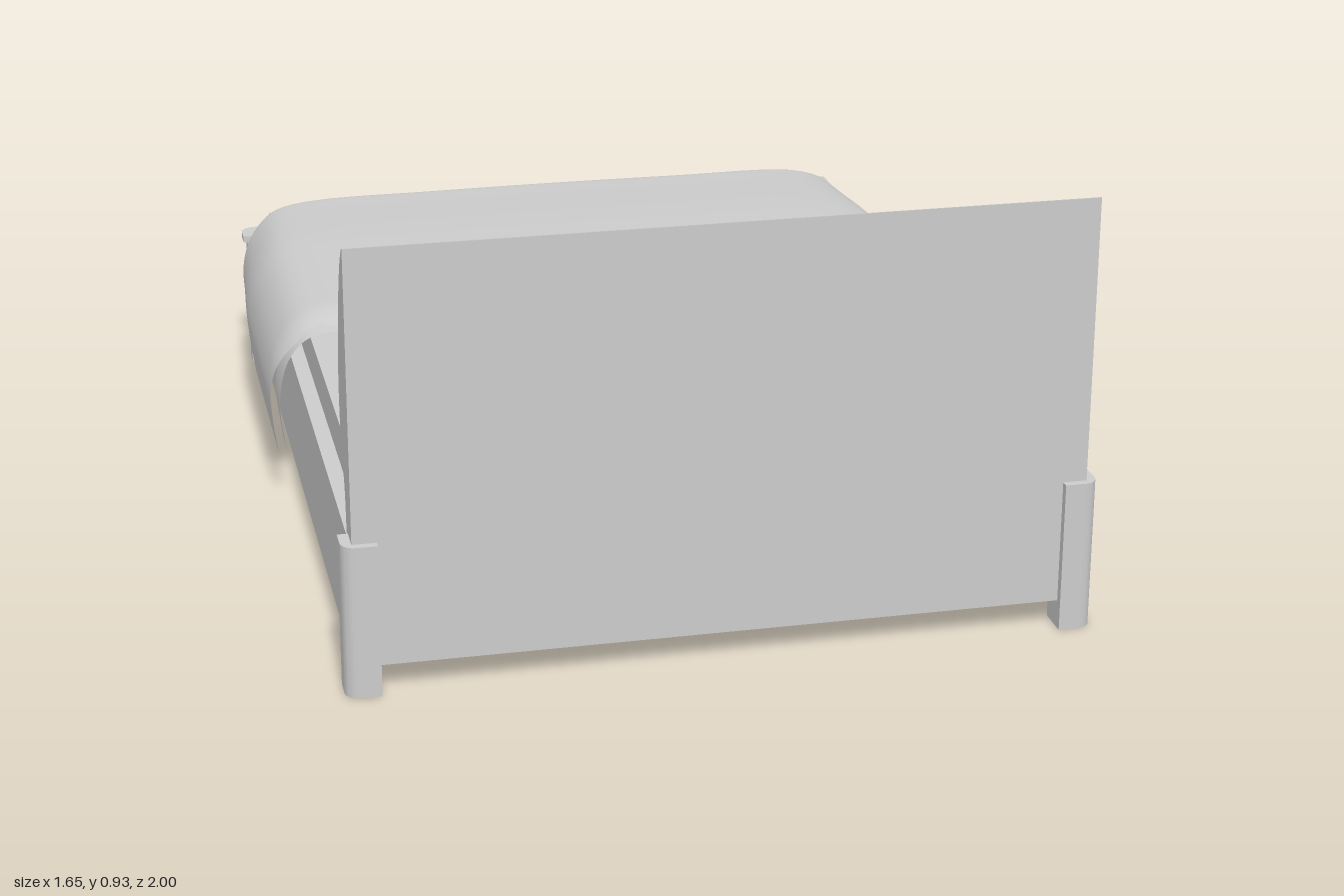
import * as THREE from 'three';
import { mergeVertices, toCreasedNormals } from 'three/addons/utils/BufferGeometryUtils.js';

const grey = new THREE.MeshStandardMaterial({ color: 0xcccccc });
const cloth = new THREE.MeshStandardMaterial({ color: 0xcccccc, side: THREE.DoubleSide });
const CX = -0.013; // middle of the frame

function add(parent, name, geo, mat = grey) {
  const mesh = new THREE.Mesh(geo, mat);
  mesh.name = name;
  parent.add(mesh);
  return mesh;
}

// Box given by its min and max on each axis
function box(x0, x1, y0, y1, z0, z1) {
  return new THREE.BoxGeometry(x1 - x0, y1 - y0, z1 - z0)
    .translate((x0 + x1) / 2, (y0 + y1) / 2, (z0 + z1) / 2);
}

// Grid surface from a function of s (left to right) and t (front to back)
function loft(nS, nT, fn) {
  const pos = [], idx = [];
  for (let j = 0; j <= nT; j++)
    for (let i = 0; i <= nS; i++) pos.push(...fn(i / nS, j / nT));
  for (let j = 0; j < nT; j++)
    for (let i = 0; i < nS; i++) {
      const a = j * (nS + 1) + i, b = a + 1, c = a + nS + 1, d = c + 1;
      idx.push(a, b, c, b, d, c);
    }
  const g = new THREE.BufferGeometry();
  g.setAttribute('position', new THREE.Float32BufferAttribute(pos, 3));
  g.setIndex(idx);
  g.computeVertexNormals();
  return g;
}

// Square post with one rounded outer corner
function legGeometry() {
  const h = 0.036, r = 0.03;
  const s = new THREE.Shape();
  s.moveTo(-h, -h);
  s.lineTo(h, -h);
  s.lineTo(h, h - r);
  s.absarc(h - r, h - r, r, 0, Math.PI / 2);
  s.lineTo(-h, h);
  const g = new THREE.ExtrudeGeometry(s, { depth: 0.325, bevelEnabled: false, curveSegments: 8 });
  return toCreasedNormals(g.rotateX(-Math.PI / 2), 0.6);
}

// Curved headboard profile, swept across the width
function headboardGeometry() {
  const s = new THREE.Shape();
  s.moveTo(0.98, 0.32);
  s.lineTo(0.98, 0.932);
  s.splineThru([[0.965, 0.925], [0.93, 0.88], [0.89, 0.79], [0.86, 0.68], [0.85, 0.59],
    [0.86, 0.5], [0.895, 0.41], [0.905, 0.32]].map(p => new THREE.Vector2(...p)));
  const g = new THREE.ExtrudeGeometry(s, { depth: 1.51, bevelEnabled: false, curveSegments: 28 });
  return toCreasedNormals(g.rotateY(-Math.PI / 2).translate(0.742, 0, 0), 0.5);
}

// Drawer front with a finger notch in its top edge
function drawerGeometry(x0, x1) {
  const m = (x0 + x1) / 2, top = 0.255;
  const s = new THREE.Shape();
  s.moveTo(x0, 0.06);
  s.lineTo(x1, 0.06);
  s.lineTo(x1, top);
  s.lineTo(m + 0.085, top);
  s.quadraticCurveTo(m + 0.07, top - 0.025, m + 0.05, top - 0.025);
  s.lineTo(m - 0.05, top - 0.025);
  s.quadraticCurveTo(m - 0.07, top - 0.025, m - 0.085, top);
  s.lineTo(x0, top);
  return new THREE.ExtrudeGeometry(s, { depth: 0.022, bevelEnabled: false }).translate(0, 0, -0.972);
}

// Footboard cap with rounded outer corners
function capGeometry() {
  const x0 = -0.8, x1 = 0.774, r = 0.035;
  const s = new THREE.Shape();
  s.moveTo(x0, 0.925);
  s.lineTo(x1, 0.925);
  s.lineTo(x1, 1 - r);
  s.absarc(x1 - r, 1 - r, r, 0, Math.PI / 2);
  s.absarc(x0 + r, 1 - r, r, Math.PI / 2, Math.PI);
  const g = new THREE.ExtrudeGeometry(s, { depth: 0.015, bevelEnabled: false, curveSegments: 8 });
  return toCreasedNormals(g.rotateX(-Math.PI / 2).translate(0, 0.321, 0), 0.6);
}

// Puffed cushion with pinched sides and pointed corners
function pillowGeometry() {
  const n = 24;
  const half = sign => (s, t) => {
    const u = Math.sin((s - 0.5) * Math.PI) * sign, v = Math.sin((t - 0.5) * Math.PI);
    const puff = Math.pow(Math.max(0, (1 - u * u) * (1 - v * v)), 0.6);
    return [
      u * (0.335 + 0.012 * v) * (1 - 0.13 * (1 - v * v)),
      v * 0.235 * (1 - 0.05 * (1 - u * u)),
      sign * 0.145 * puff,
    ];
  };
  const a = loft(n, n, half(1)), b = loft(n, n, half(-1));
  const g = new THREE.BufferGeometry();
  const pos = [...a.attributes.position.array, ...b.attributes.position.array];
  const off = a.attributes.position.count;
  g.setAttribute('position', new THREE.Float32BufferAttribute(pos, 3));
  g.setIndex([...a.index.array, ...Array.from(b.index.array, i => i + off)]);
  const welded = mergeVertices(g, 1e-5);
  welded.computeVertexNormals();
  return welded;
}

const section = pts => new THREE.CatmullRomCurve3(
  pts.map(([x, y]) => new THREE.Vector3(x, y, 0)), false, 'centripetal');

// Cover draped over the sides, rolled down at the foot
function blanketGeometry() {
  const curve = section([[-0.815, 0.125], [-0.825, 0.2], [-0.828, 0.28], [-0.805, 0.36], [-0.755, 0.42],
    [-0.68, 0.443], [-0.3, 0.452], [0.3, 0.452], [0.64, 0.445], [0.725, 0.415], [0.775, 0.36],
    [0.802, 0.27], [0.807, 0.21], [0.822, 0.14]]);
  return loft(64, 36, (s, t) => {
    const p = curve.getPoint(s);
    const top = THREE.MathUtils.smoothstep(p.y, 0.28, 0.42);
    const front = 0.025 + 0.02 * p.x;
    const foot = -0.91 + 0.14 * Math.max(0, 0.44 - p.y);
    const k = Math.max(0, (t - 0.7) / 0.3), a = k * Math.PI / 2;
    const roll = 1 - Math.cos(a);
    const z = k > 0 ? foot + 0.035 * (1 - Math.sin(a))
      : THREE.MathUtils.lerp(front, foot + 0.035, t / 0.7);
    const lip = Math.max(0, 1 - t / 0.06);
    const far = THREE.MathUtils.smoothstep(-z, 0.5, 0.92);
    const hem = (1 - top) * (p.x > 0 ? -0.035 * far : 0);
    const y = p.y - top * (0.11 * roll + 0.022 * lip + 0.012 * far) + hem;
    return [p.x * (1 - 0.025 * far - 0.03 * roll), y, z];
  });
}

// Lower fold of the cover showing past its front edge, wider on the left
function foldGeometry() {
  const curve = section([[-0.8, 0.14], [-0.81, 0.26], [-0.785, 0.36], [-0.73, 0.41], [-0.5, 0.414],
    [0.3, 0.416], [0.66, 0.416], [0.72, 0.4], [0.75, 0.34], [0.765, 0.25], [0.775, 0.12]]);
  return loft(48, 8, (s, t) => {
    const p = curve.getPoint(s);
    const front = 0.03 + 0.115 * THREE.MathUtils.clamp((p.x + 0.55) / 1.15, 0, 1);
    const top = THREE.MathUtils.smoothstep(p.y, 0.3, 0.41);
    return [p.x + (p.x > 0 ? 0.025 * t * (1 - top) : 0), p.y + 0.014 * t, THREE.MathUtils.lerp(front, -0.06, t)];
  });
}

export function createModel() {
  const bed = new THREE.Group();
  bed.name = 'bed';

  // Corner legs, rounded corner turned outward
  const leg = legGeometry();
  [[1, -1], [-1, -1], [-1, 1], [1, 1]].forEach(([sx, sz], i) => {
    const m = add(bed, 'leg', leg);
    m.position.set(CX + sx * 0.741, 0, sz * 0.961);
    m.rotation.y = i * Math.PI / 2;
  });

  // Side rails and head panel
  add(bed, 'rightRail', box(-0.77, -0.737, 0.06, 0.318, -0.93, 0.935));
  add(bed, 'leftRail', box(0.711, 0.744, 0.06, 0.318, -0.93, 0.935));
  add(bed, 'headPanel', box(-0.73, 0.704, 0.06, 0.32, 0.945, 0.98));
  add(bed, 'headboard', headboardGeometry());

  // Foot end with two drawer fronts
  add(bed, 'footRail', box(-0.73, 0.704, 0.259, 0.321, -0.975, -0.94));
  add(bed, 'footCap', capGeometry());
  add(bed, 'rightDrawer', drawerGeometry(-0.718, CX - 0.003));
  add(bed, 'leftDrawer', drawerGeometry(CX + 0.003, 0.692));

  // Bedding
  add(bed, 'mattress', box(-0.736, 0.71, 0.26, 0.405, -0.895, 0.89));
  add(bed, 'blanket', blanketGeometry(), cloth);
  add(bed, 'blanketFold', foldGeometry(), cloth);

  // Pillows leaning on the headboard
  const pillow = pillowGeometry();
  for (const [name, x] of [['rightPillow', -0.367], ['leftPillow', 0.34]]) {
    const m = add(bed, name, pillow);
    m.position.set(x, 0.553, 0.655);
    m.rotation.x = 0.92;
  }
  return bed;
}
